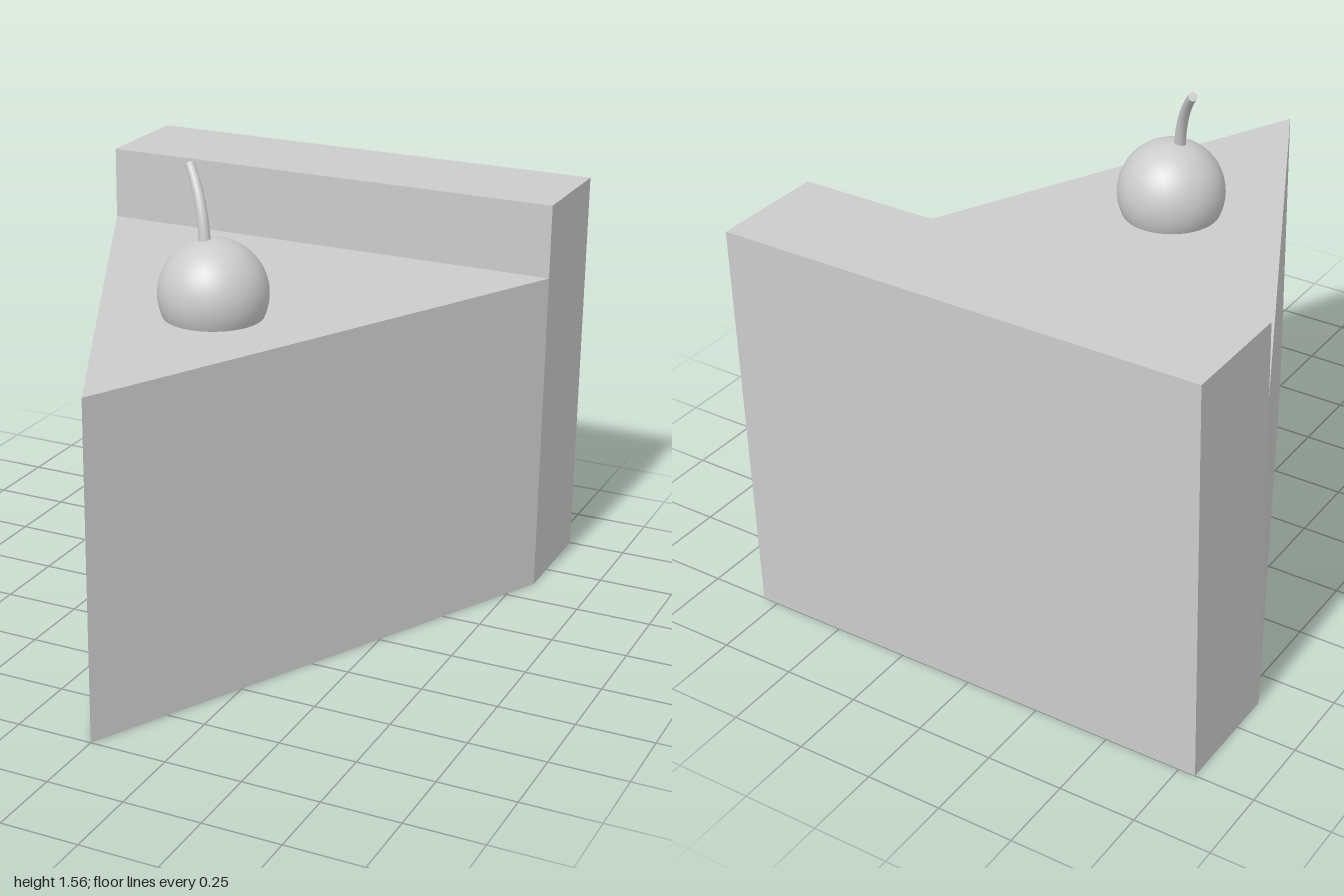
import * as THREE from 'three';

const grey = (options = {}) => new THREE.MeshStandardMaterial({ color: 0xcccccc, ...options });

// Lofts rectangular sections [z, halfWidth, height] from front to back and closes the rear.
function loftSlice(sections) {
  const rings = sections.map(([z, w, h]) =>
    [[-w, 0], [w, 0], [w, h], [-w, h]].map(([x, y]) => new THREE.Vector3(x, y, z)));
  const points = [];
  const addTriangle = (...corners) => {
    if (new THREE.Triangle(...corners).getArea() > 1e-6) points.push(...corners);
  };
  for (let i = 0; i < rings.length - 1; i++) {
    for (let j = 0; j < 4; j++) {
      const k = (j + 1) % 4;
      const [a, b, c, d] = [rings[i][j], rings[i][k], rings[i + 1][k], rings[i + 1][j]];
      addTriangle(a, d, c);
      addTriangle(a, c, b);
    }
  }
  const [p, q, r, s] = rings[rings.length - 1];
  addTriangle(p, r, q);
  addTriangle(p, s, r);
  const geometry = new THREE.BufferGeometry().setFromPoints(points);
  geometry.computeVertexNormals();
  return geometry;
}

// Tube along a curve, narrowing towards its end, with flat end caps.
function taperedStem(curve, startRadius, endRadius) {
  const group = new THREE.Group();
  const rows = 20, sides = 16;
  const tube = new THREE.TubeGeometry(curve, rows, startRadius, sides);
  const pos = tube.attributes.position;
  const v = new THREE.Vector3();
  for (let i = 0; i < pos.count; i++) {
    const t = Math.floor(i / (sides + 1)) / rows;
    const centre = curve.getPointAt(t);
    v.fromBufferAttribute(pos, i).sub(centre)
      .multiplyScalar(THREE.MathUtils.lerp(1, endRadius / startRadius, t)).add(centre);
    pos.setXYZ(i, v.x, v.y, v.z);
  }
  const stalk = new THREE.Mesh(tube, grey());
  stalk.name = 'stalk';
  const tip = new THREE.Mesh(new THREE.CircleGeometry(endRadius, sides), grey());
  tip.name = 'stalkTip';
  tip.position.copy(curve.getPointAt(1));
  tip.quaternion.setFromUnitVectors(new THREE.Vector3(0, 0, 1), curve.getTangentAt(1));
  group.add(stalk, tip);
  return group;
}

export function createModel() {
  const model = new THREE.Group();
  model.name = 'cakeSlice';

  // Wedge with a raised crust along the back
  const slice = new THREE.Mesh(loftSlice([
    [1, 0, 1.095],
    [-0.62, 0.805, 1.095],
    [-0.62, 0.805, 1.34],
    [-1, 0.805, 1.34],
  ]), grey({ flatShading: true }));
  slice.name = 'slice';

  // Cherry sunk into the top of the slice
  const cherry = new THREE.Mesh(new THREE.SphereGeometry(0.174, 48, 32), grey());
  cherry.name = 'cherry';
  cherry.position.set(0, 1.167, 0.195);

  // Curved stem leaning back to one side
  const stem = taperedStem(new THREE.QuadraticBezierCurve3(
    new THREE.Vector3(-0.022, 1.32, 0.208),
    new THREE.Vector3(-0.035, 1.46, 0.195),
    new THREE.Vector3(-0.112, 1.548, 0.132),
  ), 0.019, 0.015);
  stem.name = 'stem';

  model.add(slice, cherry, stem);
  return model;
}
